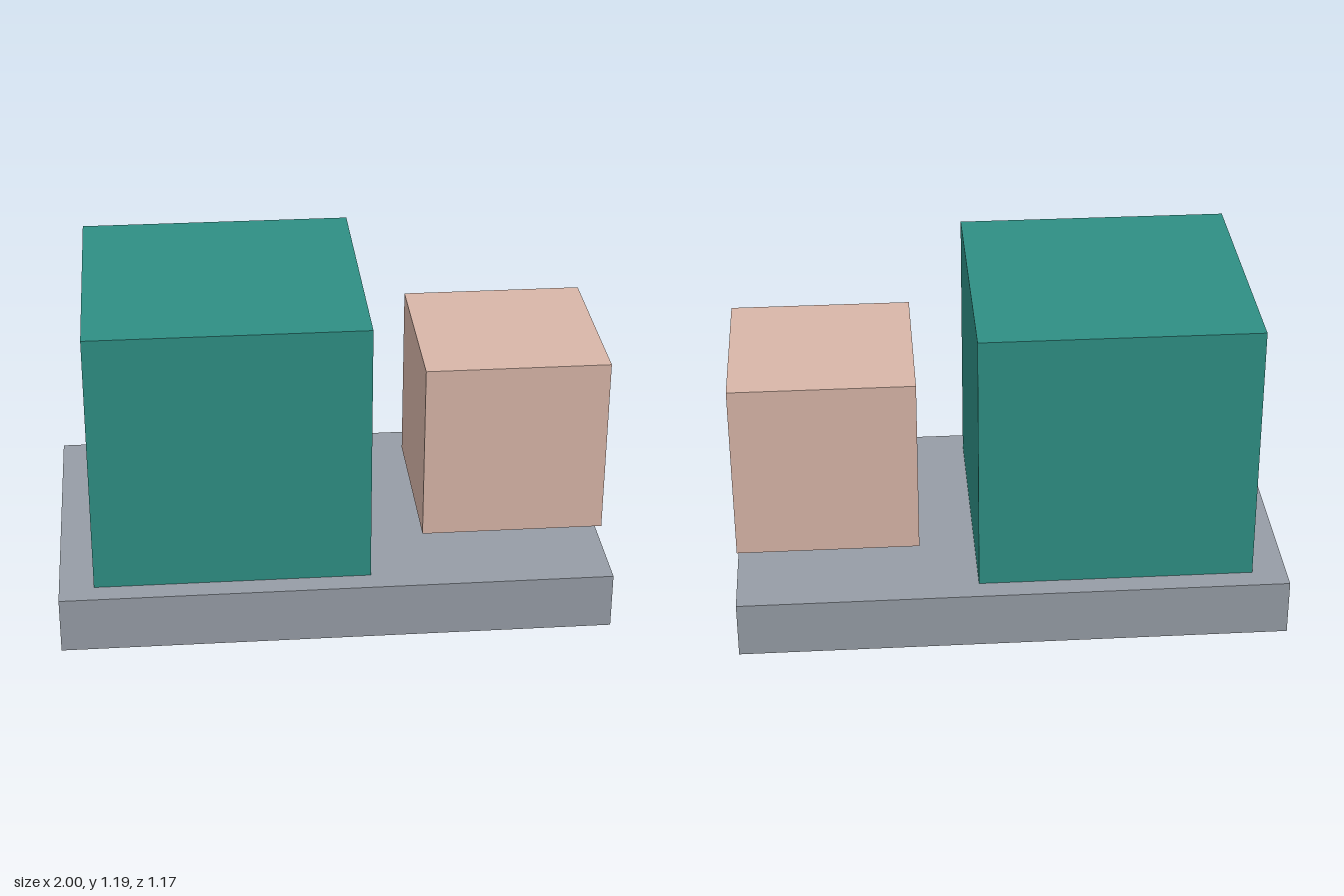
import * as THREE from 'three';

// Adds a named box given its size, its bottom height and its x centre
function addBox(group, name, color, [w, h, d], x, bottom) {
  const mesh = new THREE.Mesh(
    new THREE.BoxGeometry(w, h, d),
    new THREE.MeshStandardMaterial({ color })
  );
  mesh.name = name;
  mesh.position.set(x, bottom + h / 2, 0);
  group.add(mesh);
}

export function createModel() {
  const group = new THREE.Group();
  group.name = 'cubesOnSlab';

  // Flat slab on the ground
  addBox(group, 'baseSlab', 0x969da6, [2, 0.208, 1.167], 0, 0);

  // Large cube, sunk slightly into the slab
  addBox(group, 'largeCube', 0x2f8f84, [1, 1, 1], -0.375, 0.19);

  // Small cube, floating just above the slab
  addBox(group, 'smallCube', 0xd8b6a8, [0.667, 0.667, 0.667], 0.6665, 0.273);

  return group;
}
